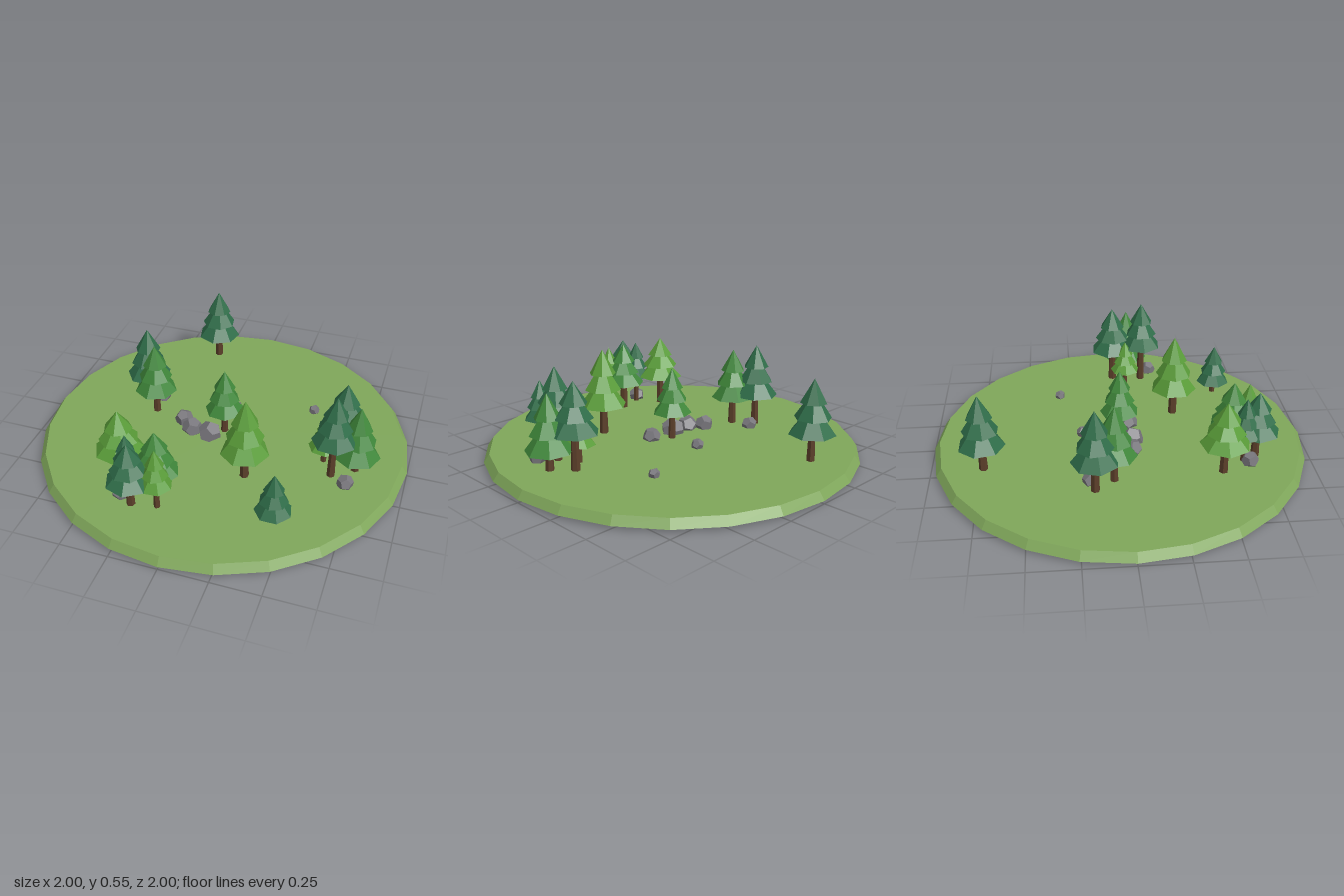
import * as THREE from 'three';

const flat = (name, color) => {
  const m = new THREE.MeshStandardMaterial({ color, flatShading: true });
  m.name = name;
  return m;
};

export function createModel() {
  const grass = flat('grass', 0x7fa65a);
  const bark = flat('bark', 0x5c3f2a);
  const stone = flat('stone', 0x77757b);
  const pine = flat('dark pine', 0x2f6d49);
  const fir = flat('mid green', 0x3f873a);
  const spruce = flat('light green', 0x599c38);

  const model = new THREE.Group();
  model.name = 'forestClearing';
  const GROUND = 0.055;

  const add = (parent, name, geometry, material, x, y, z) => {
    const mesh = new THREE.Mesh(geometry, material);
    mesh.name = name;
    mesh.position.set(x, y, z);
    parent.add(mesh);
    return mesh;
  };

  // Round grass disc with a bevelled rim
  add(model, 'ground', new THREE.CylinderGeometry(0.97, 1, 0.042, 24), grass, 0, GROUND - 0.021, 0);

  // Conifer: tapered trunk and three overlapping cones
  const addTree = ([x, z, base, top, radius, leaf], i) => {
    const tree = new THREE.Group();
    tree.name = 'tree' + (i + 1);
    tree.position.set(x, 0, z);
    tree.rotation.y = i * 1.3;
    const h = top - base;
    const trunkTop = base + h * 0.3;
    add(tree, 'trunk', new THREE.CylinderGeometry(radius * 0.13, radius * 0.19, trunkTop - GROUND + 0.01, 6),
      bark, 0, (trunkTop + GROUND - 0.01) / 2, 0);
    // start, end (fractions of canopy height) and radius of each tier
    [[0, 0.56, 1], [0.29, 0.8, 0.78], [0.57, 1, 0.56]].forEach(([a, b, r], k) => {
      const cone = add(tree, 'foliage' + (k + 1), new THREE.ConeGeometry(radius * r, h * (b - a), 7),
        leaf, 0, base + h * (a + b) / 2, 0);
      cone.rotation.y = k * 0.4;
    });
    model.add(tree);
  };

  // x, z, canopy bottom, top, canopy radius, colour
  [
    [-0.27, -0.72, 0.2, 0.485, 0.122, pine],
    [-0.5, -0.16, 0.225, 0.51, 0.122, pine],
    [-0.42, -0.06, 0.205, 0.48, 0.117, fir],
    [0, 0, 0.2, 0.445, 0.105, fir],
    [0.21, 0.32, 0.215, 0.525, 0.127, spruce],
    [-0.39, 0.5, 0.22, 0.455, 0.13, spruce],
    [-0.165, 0.58, 0.205, 0.44, 0.12, fir],
    [-0.26, 0.69, 0.205, 0.43, 0.12, pine],
    [-0.13, 0.67, 0.2, 0.41, 0.085, spruce],
    [-0.3, 0.62, 0.21, 0.42, 0.085, pine],
    [0.435, 0.59, 0.125, 0.345, 0.094, pine],
    [0.65, 0.01, 0.25, 0.51, 0.125, pine],
    [0.63, 0.18, 0.28, 0.545, 0.115, pine],
    [0.74, 0.1, 0.155, 0.45, 0.122, fir],
    [0.57, 0.08, 0.15, 0.33, 0.085, spruce],
  ].forEach(addTree);

  // Rocks: x, z, centre height, radius
  [
    [-0.24, -0.01, 0.076, 0.051],
    [-0.17, 0.05, 0.07, 0.058],
    [-0.065, 0.06, 0.066, 0.068],
    [0.095, 0.06, 0.07, 0.05],
    [0.01, -0.2, 0.072, 0.034],
    [0.43, -0.315, 0.068, 0.03],
    [0.715, 0.235, 0.073, 0.045],
    [-0.43, -0.18, 0.07, 0.044],
    [-0.33, 0.65, 0.076, 0.047],
  ].forEach(([x, z, y, r], i) => {
    const rock = add(model, 'rock' + (i + 1), new THREE.DodecahedronGeometry(r), stone, x, y, z);
    rock.rotation.set(i * 0.7, i * 1.1, i * 0.4);
  });

  return model;
}
